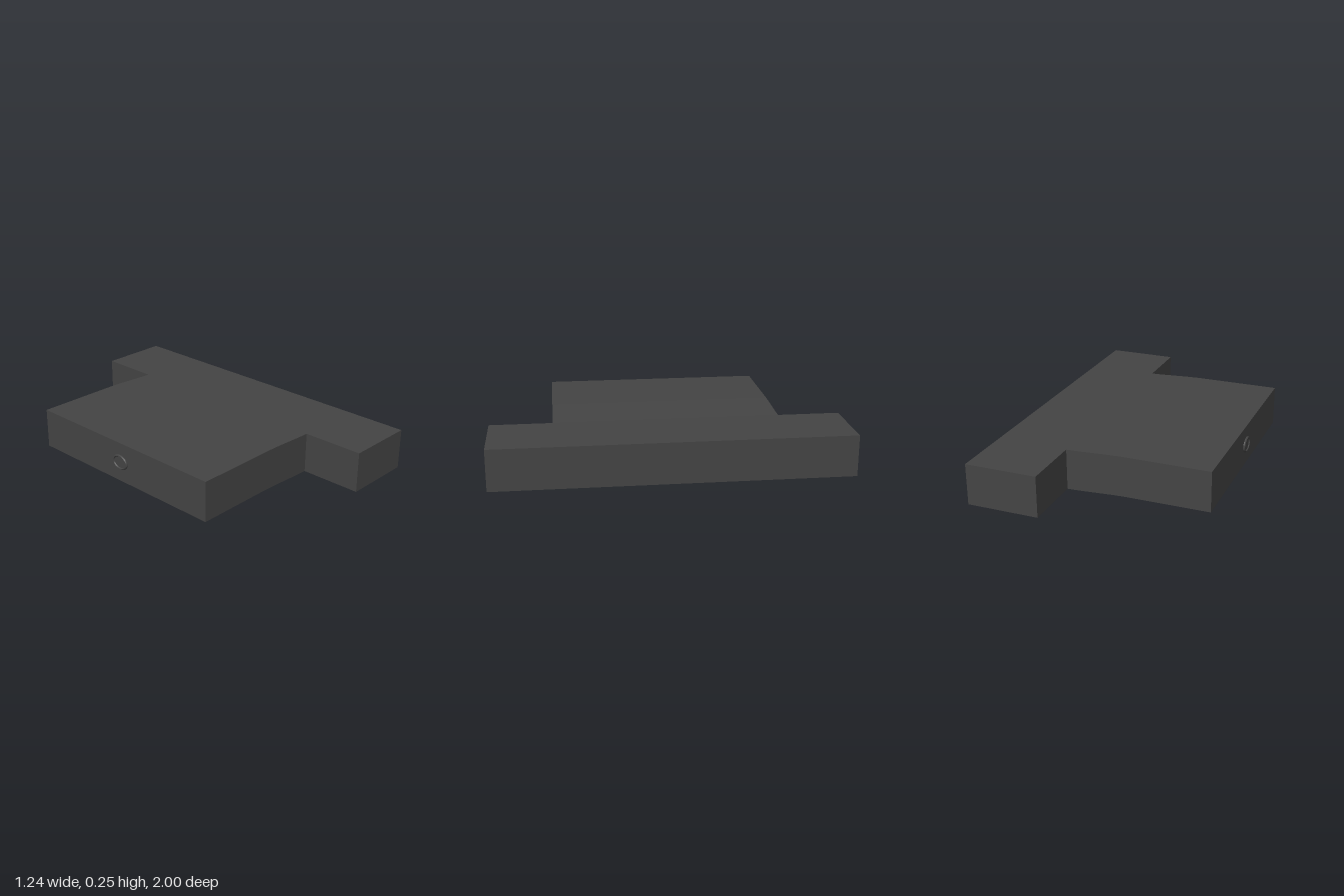
import * as THREE from 'three';

const material = new THREE.MeshStandardMaterial({ color: 0x444444, flatShading: true });

function addMesh(group, name, geometry) {
  const mesh = new THREE.Mesh(geometry, material);
  mesh.name = name;
  group.add(mesh);
  return mesh;
}

// Extrude an x-y outline along z, centred on zMid
function slab(points, depth, zMid = 0) {
  const shape = new THREE.Shape(points.map(([x, y]) => new THREE.Vector2(x, y)));
  const geometry = new THREE.ExtrudeGeometry(shape, { depth, bevelEnabled: false });
  return geometry.translate(0, 0, zMid - depth / 2);
}

export function createModel() {
  const model = new THREE.Group();
  model.name = 'model';

  // Wide crossbar along z
  addMesh(model, 'crossbar', new THREE.BoxGeometry(0.41, 0.235, 2).translate(0.415, 0.1175, 0));

  // Main body: slightly raised, easing down to meet the crossbar
  addMesh(model, 'body', slab([
    [-0.612, 0.014], [-0.13, 0.014], [-0.06, 0.012], [0.14, 0.002], [0.21, 0],
    [0.21, 0.235], [0.14, 0.237], [-0.03, 0.245], [-0.11, 0.247], [-0.612, 0.247],
  ], 1.29));

  // Thin wedge-shaped feet under the body
  for (const side of [-1, 1]) {
    addMesh(model, side > 0 ? 'frontFoot' : 'backFoot', slab([
      [-0.48, 0.016], [-0.48, 0.013], [-0.145, 0], [-0.145, 0.016],
    ], 0.015, side * 0.535));
  }

  // Small dished button on the end face
  const profile = [[1, -0.004], [1, 0.005], [0.92, 0.01], [0.82, 0.01], [0.75, 0.004], [0, 0.004]];
  const button = addMesh(model, 'button',
    new THREE.LatheGeometry(profile.map(([r, h]) => new THREE.Vector2(r, h)), 32));
  button.scale.set(0.044, 1, 0.058);
  button.rotation.z = Math.PI / 2;
  button.position.set(-0.612, 0.132, 0);

  return model;
}
